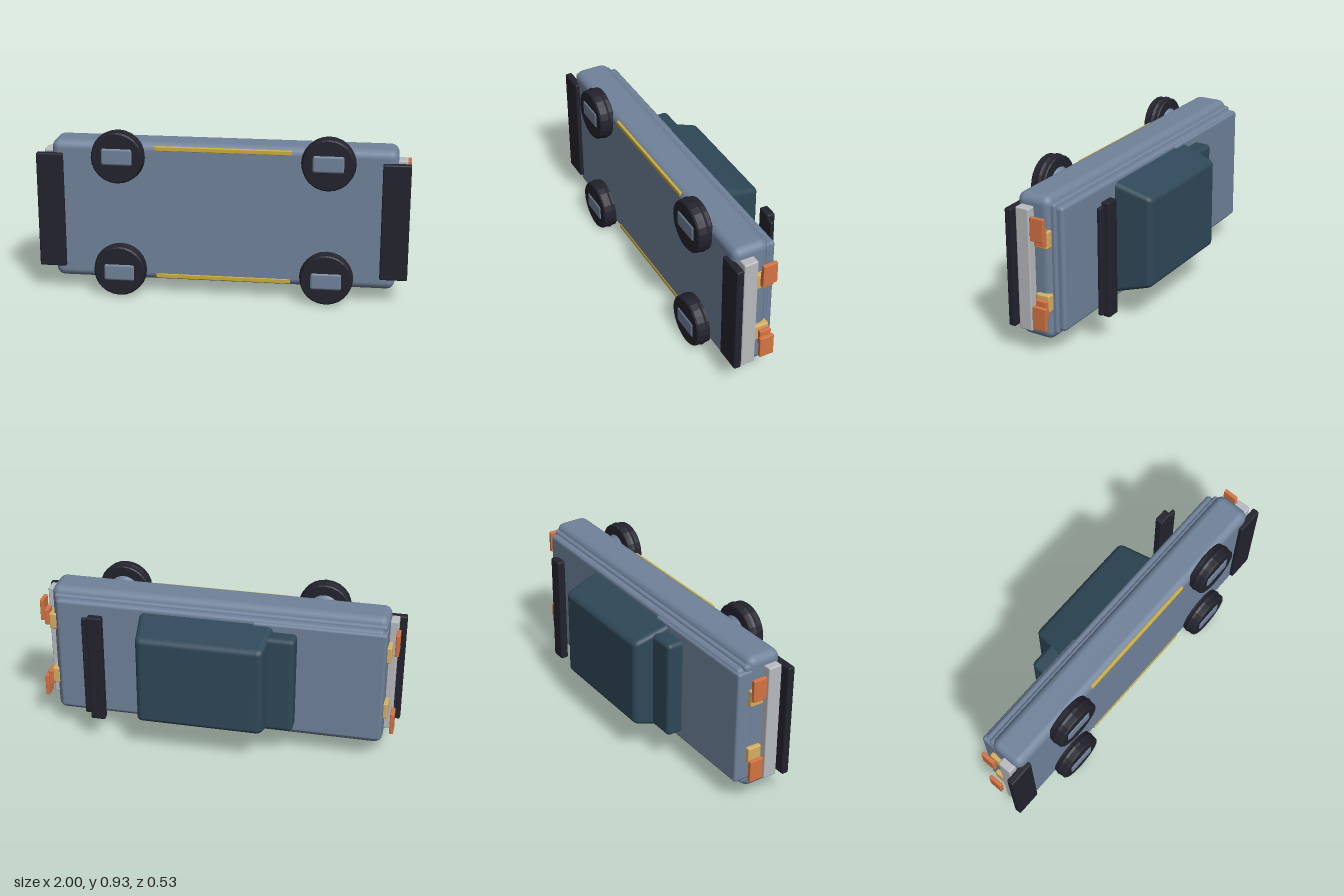
import * as THREE from 'three';
import { RoundedBoxGeometry } from 'three/addons/geometries/RoundedBoxGeometry.js';

const mat = (name, color) => {
  const m = new THREE.MeshStandardMaterial({ color });
  m.name = name;
  return m;
};

export function createModel() {
  const group = new THREE.Group();
  const slate = mat('slate paint', 0x71839b);
  const glass = mat('dark teal', 0x2f4858);
  const black = mat('black rubber', 0x23232e);
  const silver = mat('silver', 0xb9bcc0);
  const gold = mat('gold trim', 0xcfae3c);
  const amber = mat('lamp yellow', 0xd6b062);
  const orange = mat('lamp orange', 0xd67443);
  const MID = 0.472; // the car's centre line, across y

  const add = (name, geo, material) => {
    const m = new THREE.Mesh(geo, material);
    m.name = name;
    group.add(m);
    return m;
  };
  // Rounded box from its limits on each axis
  const box = (name, material, [x0, x1], [y0, y1], [z0, z1], r = 0.008) => {
    const geo = new RoundedBoxGeometry(x1 - x0, y1 - y0, z1 - z0, 3, r);
    geo.translate((x0 + x1) / 2, (y0 + y1) / 2, (z0 + z1) / 2);
    return add(name, geo, material);
  };
  // Limits mirrored about the centre line
  const across = (half) => [MID - half, MID + half];

  // Body and the stepped deck above it; the roof faces -z
  box('body', slate, [-0.92, 0.932], across(0.388), [-0.012, 0.187], 0.045);
  box('shoulder', slate, [-0.912, 0.91], across(0.353), [-0.03, 0.03], 0.015);
  box('deck', slate, [-0.9, 0.895], across(0.338), [-0.065, 0.03], 0.02);
  box('hood', slate, [-0.918, -0.2], across(0.325), [-0.074, 0.02], 0.015);

  // Cabin tapering towards the roof
  const cabin = new RoundedBoxGeometry(0.74, 0.64, 0.23, 4, 0.03);
  const p = cabin.attributes.position;
  for (let i = 0; i < p.count; i++) {
    const t = 0.5 - p.getZ(i) / 0.23;
    const x = p.getX(i);
    p.setX(i, x - Math.sign(x) * 0.028 * t);
    p.setY(i, p.getY(i) * (1 - 0.22 * t));
  }
  cabin.computeVertexNormals();
  cabin.translate(0.052, MID, -0.152);
  add('cabin', cabin, glass);
  box('windscreenBase', glass, [-0.445, -0.25], across(0.28), [-0.16, -0.04], 0.025);

  // Rear wing
  box('wing', black, [0.6, 0.68], across(0.315), [-0.192, -0.147]);
  box('wingLip', black, [0.66, 0.718], across(0.295), [-0.168, -0.145]);

  // Bumpers and silver bars at both ends
  box('frontSplitter', black, [-1, -0.855], across(0.32), [0.17, 0.21]);
  box('rearSplitter', black, [0.85, 0.998], across(0.32), [0.17, 0.21]);
  box('frontBar', silver, [-0.963, -0.9], across(0.332), [0.08, 0.158]);
  box('rearBar', silver, [0.9, 0.98], across(0.332), [0.08, 0.158]);

  // Lamps and sill trims, mirrored about the centre line
  for (const s of [1, -1]) {
    const span = (a, b) => (s > 0 ? [MID + a, MID + b] : [MID - b, MID - a]);
    box('frontLamp', amber, [-0.942, -0.9], span(0.125, 0.218), [-0.01, 0.07]);
    box('rearLamp', amber, [0.91, 0.955], span(0.125, 0.218), [-0.01, 0.07]);
    box('frontIndicator', orange, [-0.98, -0.958], span(0.178, 0.302), [-0.025, 0.055], 0.004);
    box('rearIndicator', orange, [0.978, 0.999], span(0.178, 0.302), [-0.018, 0.062], 0.004);
    box('rearIndicatorInner', orange, [0.955, 0.98], span(0.148, 0.24), [-0.01, 0.053], 0.004);
    box('sillTrim', gold, [-0.36, 0.373], span(0.347, 0.372), [0.16, 0.19], 0.004);
  }

  // Wheels lie flat, axis along z
  const tyreProfile = [[0, 0.175], [0.134, 0.175], [0.139, 0.18], [0.14, 0.2], [0.145, 0.213],
    [0.14, 0.226], [0.139, 0.252], [0.132, 0.26], [0, 0.26]].map(([r, h]) => new THREE.Vector2(r, h));
  for (const x of [-0.55, 0.568]) {
    for (const y of [0.154, 0.79]) {
      const tyre = new THREE.LatheGeometry(tyreProfile, 24);
      tyre.rotateX(Math.PI / 2);
      tyre.translate(x, y, 0);
      add('tyre', tyre.toNonIndexed(), black).geometry.computeVertexNormals();
      const hub = new THREE.CylinderGeometry(0.085, 0.06, 0.03, 24);
      hub.rotateX(Math.PI / 2);
      hub.translate(x, y, 0.163);
      add('innerHub', hub, slate);
      const capY = y > MID ? 0.798 : 0.148;
      box('hubCap', slate, [x - 0.085, x + 0.085], [capY - 0.048, capY + 0.048], [0.22, 0.266], 0.015);
    }
  }
  return group;
}
